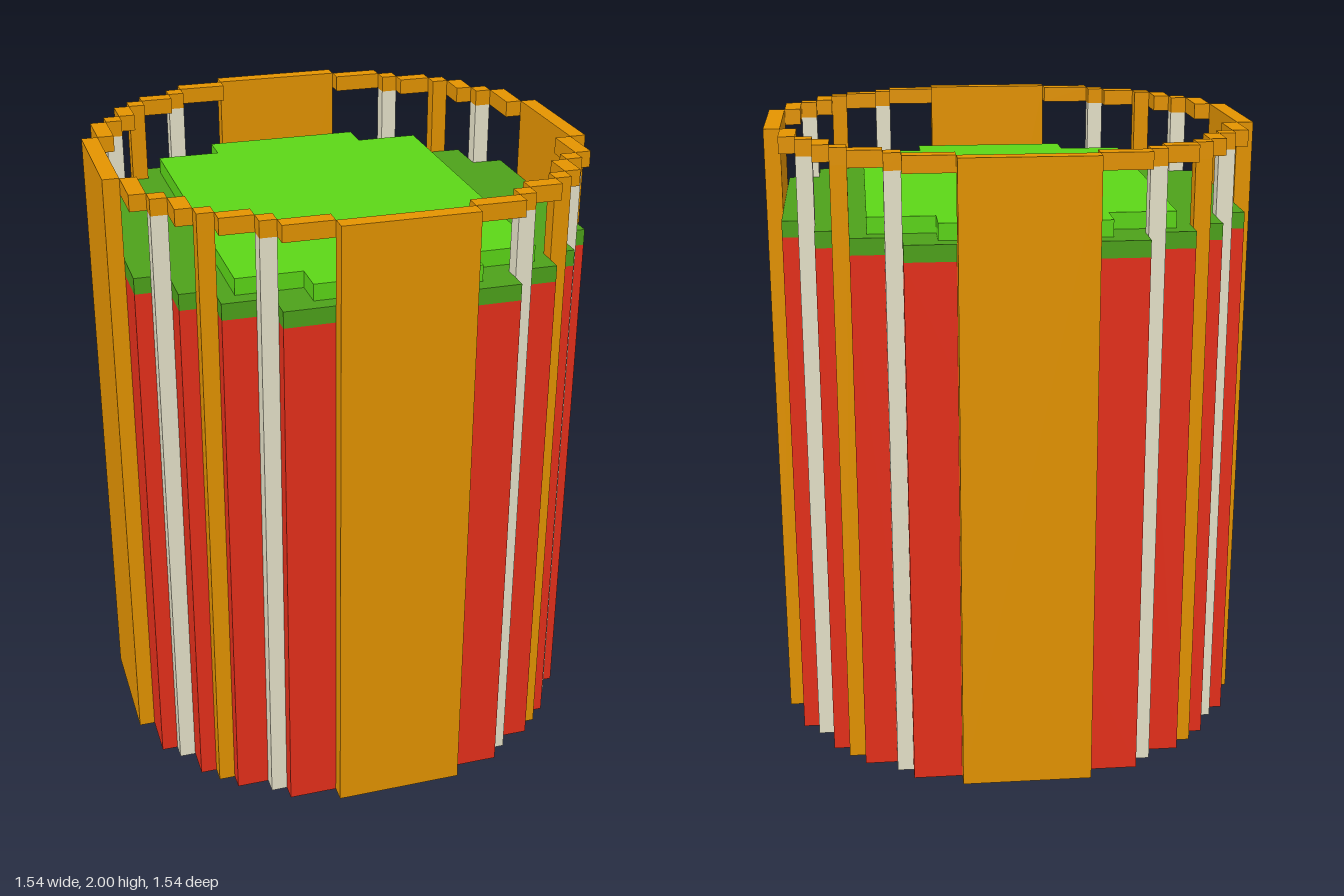
import * as THREE from 'three';

const U = 2 / 39; // one grid cell

const mat = (name, color) => {
  const m = new THREE.MeshStandardMaterial({ color });
  m.name = name;
  return m;
};

export function createModel() {
  const root = new THREE.Group();
  root.name = 'barrel';
  const gold = mat('gold', 0xe59400);
  const red = mat('red', 0xe9301b);
  const grey = mat('paleGrey', 0xe8e4cb);
  const lime = mat('lightGreen', 0x5cd717);
  const green = mat('darkGreen', 0x4da21a);

  const add = (name, geometry, material) => {
    const mesh = new THREE.Mesh(geometry, material);
    mesh.name = name;
    root.add(mesh);
  };

  // Box between grid coordinates
  const box = (name, material, x0, x1, y0, y1, z0, z1) => {
    const g = new THREE.BoxGeometry((x1 - x0) * U, (y1 - y0) * U, (z1 - z0) * U);
    g.translate((x0 + x1) * U / 2, (y0 + y1) * U / 2, (z0 + z1) * U / 2);
    add(name, g, material);
  };

  // Box repeated in all four quadrants
  const box4 = (name, material, x0, x1, y0, y1, z0, z1) => {
    for (const sx of [1, -1]) for (const sz of [1, -1]) {
      const [a, b] = sx > 0 ? [x0, x1] : [-x1, -x0];
      const [c, d] = sz > 0 ? [z0, z1] : [-z1, -z0];
      box(name, material, a, b, y0, y1, c, d);
    }
  };

  // Full stepped outline from the corners of one quadrant
  const outline = (quarter) => {
    const back = [...quarter].reverse();
    return [
      ...quarter,
      ...back.map(([x, z]) => [x, -z]),
      ...quarter.map(([x, z]) => [-x, -z]),
      ...back.map(([x, z]) => [-x, z]),
    ].map(([x, z]) => new THREE.Vector2(x * U, z * U));
  };

  // Extruded outline; the hole runs the other way so its walls face inward
  const slab = (name, material, quarter, y0, y1, hole) => {
    const shape = new THREE.Shape(outline(quarter));
    if (hole) shape.holes.push(new THREE.Path(outline(hole).reverse()));
    const g = new THREE.ExtrudeGeometry(shape, { depth: (y1 - y0) * U, bevelEnabled: false });
    g.rotateX(-Math.PI / 2);
    g.translate(0, y0 * U, 0);
    add(name, g, material);
  };

  // Hollow body with a green edge, capped by the raised top
  const body = [[7, 14], [7, 12], [10, 12], [10, 10], [12, 10], [12, 7], [14, 7]];
  const core = [[5, 13], [5, 11], [9, 11]];
  slab('body', red, body, 0, 33, core);
  slab('greenEdge', green, body, 33, 34, core);
  slab('raisedTop', lime, core, 34, 35);

  // Wide panels on the four sides
  for (const s of [1, -1]) {
    const [a, b] = s > 0 ? [14, 15] : [-15, -14];
    box('sidePanel', gold, a, b, 0, 39, -4, 4);
    box('endPanel', gold, -4, 4, 0, 39, a, b);
  }

  // Thin posts in the notches
  box4('greyPost', grey, 7, 8, 0, 38, 12, 13);
  box4('greyPost', grey, 12, 13, 0, 38, 7, 8);
  box4('goldPost', gold, 10, 11, 0, 38, 10, 11);

  // Stepped top rim
  const rim = [
    [4, 7, 13, 14], [7, 8, 12, 13], [8, 10, 11, 12], [10, 11, 10, 11],
    [11, 12, 8, 10], [12, 13, 7, 8], [13, 14, 4, 7],
  ];
  for (const [x0, x1, z0, z1] of rim) box4('rim', gold, x0, x1, 38, 39, z0, z1);

  return root;
}
